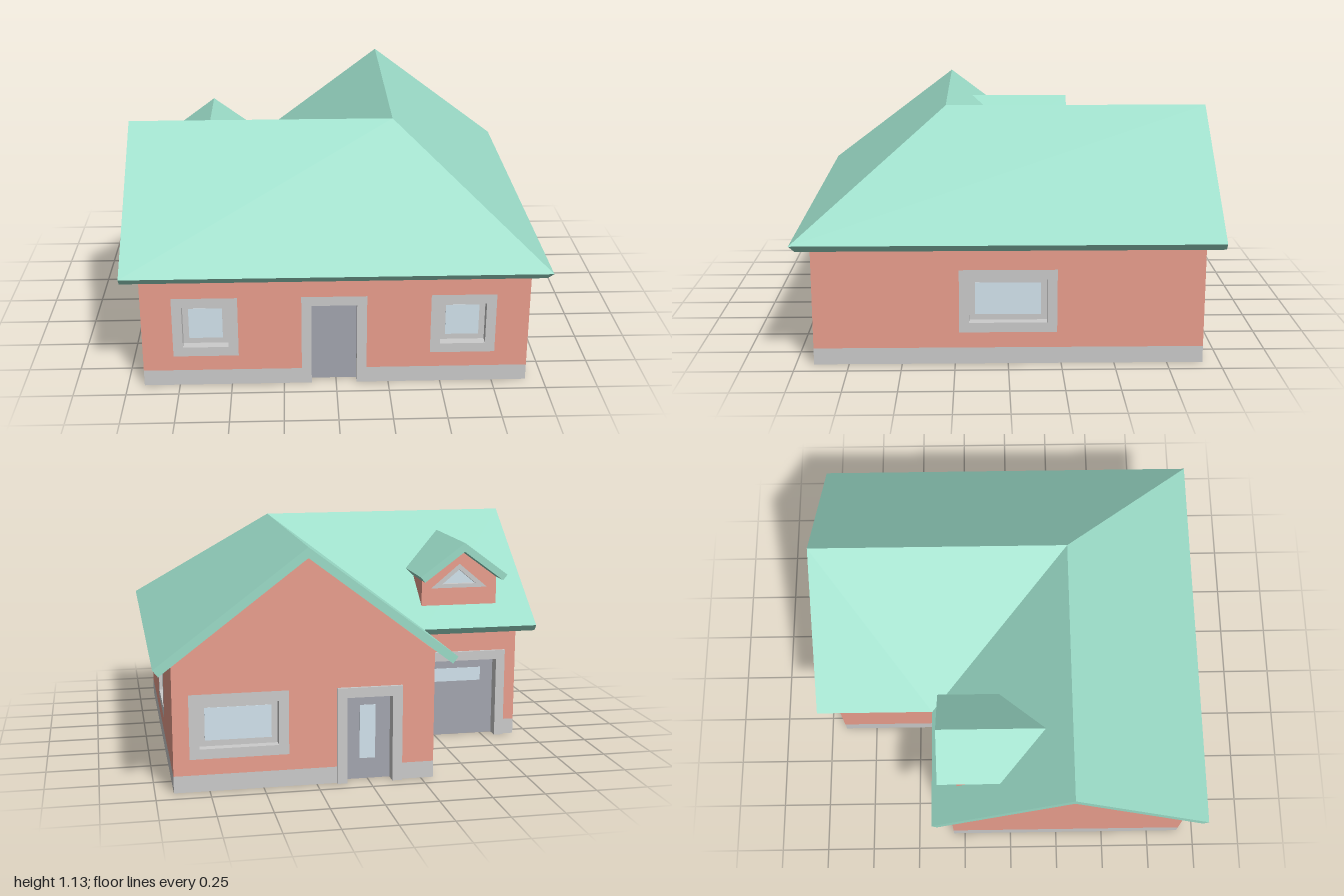
import * as THREE from 'three';

const mat = (color) => new THREE.MeshStandardMaterial({ color, flatShading: true });
const GREY = mat(0xcccccc), WALL = mat(0xeb9f8e), ROOF = mat(0x9bdcc8);
const DOOR = mat(0xa4a6b0), GLASS = mat(0xd3e4ee);
const T = 0.06;          // wall thickness
const RECESS = 0.045;    // depth of doors and windows
const PLINTH = 0.08, TOP = 0.46, SILL = 0.155, RIM = 0.047;

function add(parent, name, geometry, material, x = 0, y = 0, z = 0) {
  const mesh = new THREE.Mesh(geometry, material);
  mesh.name = name;
  mesh.position.set(x, y, z);
  parent.add(mesh);
  return mesh;
}

const box = (w, h, d) => new THREE.BoxGeometry(w, h, d);
const points = (list) => list.map(([x, y]) => new THREE.Vector2(x, y));

// Flat outline with holes, its face at z = front, extruded backwards
function panel(outline, holes, front, depth) {
  const shape = new THREE.Shape(points(outline));
  holes.forEach((h) => shape.holes.push(new THREE.Path(points(h))));
  return new THREE.ExtrudeGeometry(shape, { depth, bevelEnabled: false }).translate(0, 0, front - depth);
}

const rect = (l, r, b, t) => [[l, b], [r, b], [r, t], [l, t]];

// Frame, recessed sash and pane
function addWindow(parent, { u, w }) {
  const l = u - w / 2, r = u + w / 2, cy = (SILL + TOP) / 2, h = TOP - SILL;
  const g = new THREE.Group();
  g.name = 'window';
  parent.add(g);
  add(g, 'windowFrame', panel(rect(l, r, SILL, TOP), [rect(l + RIM, r - RIM, SILL + RIM, TOP - RIM)], 0, T), GREY);
  add(g, 'sash', box(w - 2 * RIM, h - 2 * RIM, 0.02), GREY, u, cy, -RECESS - 0.01);
  add(g, 'pane', box(w - 0.15, h - 0.15, 0.004), GLASS, u, cy, -RECESS);
}

// Three-sided frame, recessed leaf and optional pane [width, bottom, top]
function addDoor(parent, { u, w, proud = 0, pane }) {
  const l = u - w / 2, r = u + w / 2, t = TOP - RIM;
  const g = new THREE.Group();
  g.name = 'door';
  parent.add(g);
  const outline = [[l, 0], [l + RIM, 0], [l + RIM, t], [r - RIM, t], [r - RIM, 0], [r, 0], [r, TOP], [l, TOP]];
  add(g, 'doorFrame', panel(outline, [], proud, T + proud), GREY);
  add(g, 'doorLeaf', box(w - 2 * RIM, t, 0.02), DOOR, u, t / 2, -RECESS - 0.01);
  if (pane) {
    add(g, 'doorPane', box(pane[0], pane[2] - pane[1], 0.004), GLASS, u, (pane[1] + pane[2]) / 2, -RECESS);
  }
}

// One wall seen from outside: u runs left to right, gable is the u of the peak
function addWall(parent, name, { x, z, turn, from, to, gable, doors = [], windows = [] }) {
  const g = new THREE.Group();
  g.name = name;
  g.position.set(x, 0, z);
  g.rotation.y = turn;
  parent.add(g);
  const outline = [[from, PLINTH]];
  let start = from;
  const plinth = (a, b) => add(g, 'plinth', box(b - a, PLINTH, T), GREY, (a + b) / 2, PLINTH / 2, -T / 2);
  doors.forEach((d) => {
    const l = d.u - d.w / 2, r = d.u + d.w / 2;
    outline.push([l, PLINTH], [l, TOP], [r, TOP], [r, PLINTH]);
    plinth(start, l);
    start = r;
    addDoor(g, d);
  });
  plinth(start, to);
  outline.push([to, PLINTH], [to, 0.615]);
  if (gable !== undefined) outline.push([gable, 1.083]);
  outline.push([from, 0.615]);
  const holes = windows.map(({ u, w }) => rect(u - w / 2, u + w / 2, SILL, TOP));
  add(g, 'wallFace', panel(outline, holes, 0, T), WALL);
  windows.forEach((w) => addWindow(g, w));
}

// Roof slab from upper corners, lower corners, quad faces and the outer loop
function slab(top, under, faces, loop) {
  const pos = [];
  const quad = (a, b, c, d) => pos.push(...a, ...b, ...c, ...a, ...c, ...d);
  faces.forEach(([a, b, c, d]) => {
    quad(top[a], top[b], top[c], top[d]);
    quad(under[d], under[c], under[b], under[a]);
  });
  loop.forEach((a, i) => {
    const b = loop[(i + 1) % loop.length];
    quad(under[a], under[b], top[b], top[a]);
  });
  const geo = new THREE.BufferGeometry();
  geo.setAttribute('position', new THREE.Float32BufferAttribute(pos, 3));
  geo.computeVertexNormals();
  return geo;
}

// L-shaped roof corners; i pulls the eaves inwards
const mainCorners = (eave, ridge, i) => [
  [-1, eave, 1 - i], [1 - i, eave, 1 - i], [1 - i, eave, -1],
  [0.3, ridge, -1], [-0.4 + i, eave, -1], [-0.4 + i, eave, -0.4 + i],
  [-1, eave, -0.4 + i], [-1, ridge, 0.3], [0.3, ridge, 0.3],
];

// Dormer roof corners, running back until they meet the main slope
function dormerCorners(eave, ridge, half) {
  const meet = (y) => (y - 0.6) / 0.757 - 0.4;
  const x = -0.62, z = -0.36;
  return [
    [x - half, eave, z], [x, ridge, z], [x + half, eave, z],
    [x + half, eave, meet(eave)], [x, ridge, meet(ridge)], [x - half, eave, meet(eave)],
  ];
}

function addDormer(parent) {
  const g = new THREE.Group();
  g.name = 'dormer';
  parent.add(g);
  add(g, 'dormerRoof', slab(dormerCorners(0.865, 1.035, 0.23), dormerCorners(0.837, 0.99, 0.207),
    [[0, 5, 4, 1], [1, 4, 3, 2]], [0, 5, 4, 3, 2, 1]), ROOF);
  const face = new THREE.Group();
  face.name = 'dormerFace';
  face.position.set(-0.62, 0, -0.27);
  face.rotation.y = Math.PI;
  g.add(face);
  const tri = (half, base, peak) => [[-half, base], [half, base], [0, peak]];
  const outer = tri(0.15, 0.79, 0.915), inner = tri(0.09, 0.81, 0.885);
  add(face, 'dormerWall', panel(
    [[-0.2, 0.66], [0.2, 0.66], [0.2, 0.84], [0, 0.987], [-0.2, 0.84]], [outer], 0, 0.34), WALL);
  add(face, 'dormerWindowFrame', panel(outer, [inner], 0, 0.04), GREY);
  add(face, 'dormerPane', panel(outer, [], -0.025, 0.01), GLASS);
}

export function createModel() {
  const house = new THREE.Group();
  house.name = 'house';
  const E = 0.915, W = 0.92, N = 0.31;

  // Walls
  addWall(house, 'frontWall', {
    x: 0, z: E, turn: 0, from: -W, to: E,
    doors: [{ u: -0.01, w: 0.31 }],
    windows: [{ u: -0.62, w: 0.31 }, { u: 0.603, w: 0.31 }],
  });
  addWall(house, 'leftWall', {
    x: E, z: 0, turn: Math.PI / 2, from: -E, to: W, windows: [{ u: 0, w: 0.46 }],
  });
  addWall(house, 'backGableWall', {
    x: 0, z: -W, turn: Math.PI, from: -E, to: N, gable: -0.3,
    doors: [{ u: 0, w: 0.31, proud: 0.015, pane: [0.075, 0.1, 0.36] }],
    windows: [{ u: -0.61, w: 0.46 }],
  });
  addWall(house, 'rightGableWall', { x: -W, z: 0, turn: -Math.PI / 2, from: -N, to: E, gable: 0.3 });
  addWall(house, 'garageWall', {
    x: 0, z: -N, turn: Math.PI, from: N, to: W,
    doors: [{ u: 0.615, w: 0.49, proud: 0.015, pane: [0.26, 0.29, 0.36] }],
  });
  addWall(house, 'innerSideWall', { x: -N, z: 0, turn: -Math.PI / 2, from: -W, to: -N });

  // Floor, held just inside the recessed doors
  const k = 0.047;
  const plan = [[-W + k, -E + k], [E - k, -E + k], [E - k, W - k], [-N + k, W - k], [-N + k, N - k], [-W + k, N - k]];
  const floor = panel(plan, [], 0.01, 0.01).rotateX(-Math.PI / 2);
  add(house, 'floor', floor, GREY);

  // Roof
  add(house, 'mainRoof', slab(mainCorners(0.602, 1.13, 0), mainCorners(0.57, 1.081, 0.025),
    [[0, 1, 8, 7], [1, 2, 3, 8], [3, 4, 5, 8], [7, 8, 5, 6]], [0, 1, 2, 3, 4, 5, 6, 7]), ROOF);
  addDormer(house);
  return house;
}
